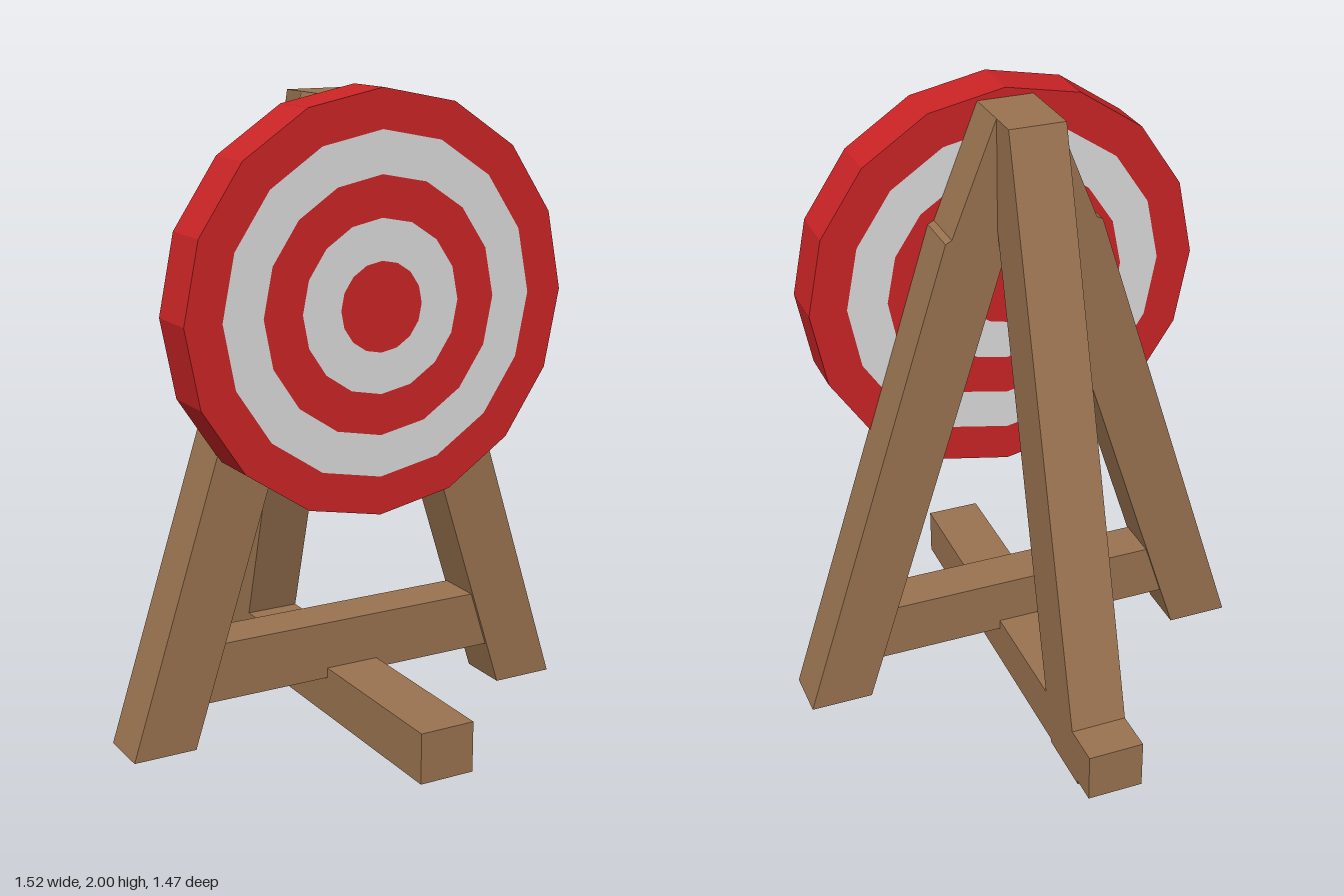
import * as THREE from 'three';

const mat = (name, color) => Object.assign(new THREE.MeshStandardMaterial({ color }), { name });

export function createModel() {
  const wood = mat('wood', 0x9a7350);
  const red = mat('red paint', 0xcb2426);
  const white = mat('white paint', 0xdddcdd);
  const model = new THREE.Group();

  const add = (name, geometry, material, parent = model) => {
    const mesh = new THREE.Mesh(geometry, material);
    mesh.name = name;
    parent.add(mesh);
    return mesh;
  };
  const beam = (name, w, h, d, x, y, z) =>
    add(name, new THREE.BoxGeometry(w, h, d), wood).position.set(x, y, z);
  const plank = (points, depth) => new THREE.ExtrudeGeometry(
    new THREE.Shape(points.map(([x, y]) => new THREE.Vector2(x, y))),
    { depth, bevelEnabled: false });

  // Front legs: one symmetric A outline with a small shoulder near the top
  const half = [[0.555, 0], [0.76, 0], [0.255, 1.6], [0.235, 1.61], [0.09, 1.97]];
  const mirrored = half.map(([x, y]) => [-x, y]).reverse();
  add('frontLegs', plank([[0, 1.74], ...half, ...mirrored], 0.17), wood).position.z = 0.01;

  // Rear strut: side profile (z, y) turned so that shape x runs along +z
  const strut = plank([[-0.65, 0], [-0.435, 0], [0.01, 1.62], [0.01, 1.97], [-0.085, 1.97]], 0.18);
  strut.rotateY(-Math.PI / 2).translate(0.09, 0, 0);
  add('rearStrut', strut, wood);

  // Horizontal timbers
  beam('baseBeam', 0.18, 0.16, 1.47, 0, 0.092, 0);
  beam('crossBar', 1.04, 0.185, 0.15, 0, 0.232, 0.095);

  // Target board with painted rings on both faces
  const target = new THREE.Group();
  target.name = 'target';
  target.position.set(0, 1.358, 0.255);
  model.add(target);
  const sides = 16;
  const depth = 0.17;
  const rim = new THREE.CylinderGeometry(0.642, 0.642, depth, sides, 1, true).toNonIndexed();
  rim.computeVertexNormals();
  rim.rotateX(Math.PI / 2);
  add('rim', rim, red, target);

  const radii = [0, 0.138, 0.265, 0.392, 0.522, 0.642];
  for (const face of [1, -1]) {
    for (let i = 0; i < 5; i++) {
      const geometry = i === 0
        ? new THREE.CircleGeometry(radii[1], sides)
        : new THREE.RingGeometry(radii[i], radii[i + 1], sides);
      const ring = add((face > 0 ? 'front' : 'back') + (i ? 'Ring' + i : 'Bullseye'),
        geometry, i % 2 ? white : red, target);
      ring.position.z = face * depth / 2;
      if (face < 0) ring.rotation.y = Math.PI;
    }
  }
  return model;
}
